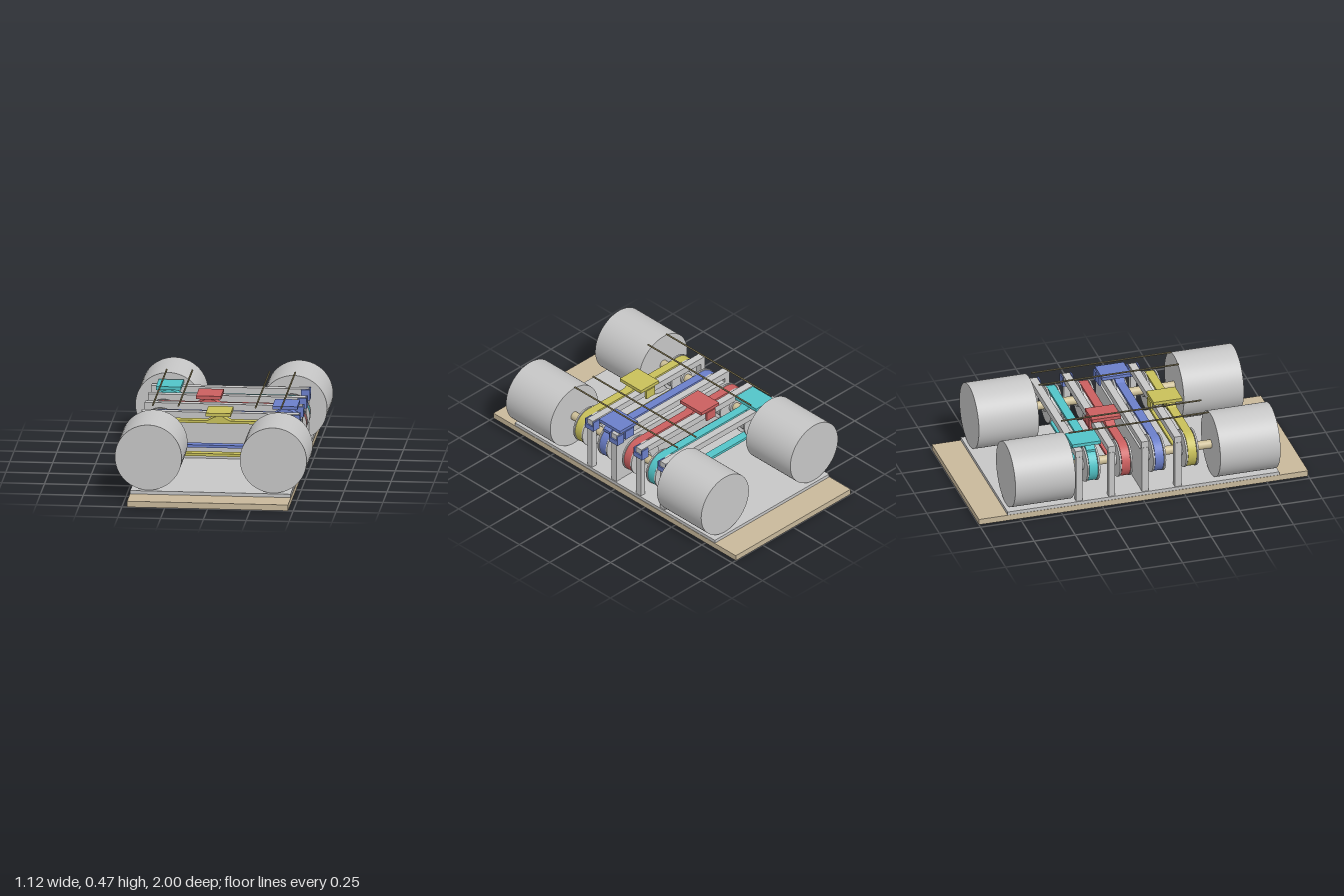
import * as THREE from 'three';

const mat = (name, color, side = THREE.FrontSide) => {
  const m = new THREE.MeshStandardMaterial({ color, side });
  m.name = name;
  return m;
};

export function createModel() {
  const model = new THREE.Group();
  const grey = mat('grey metal', 0xc6c6c6);
  const wood = mat('tan board', 0xc8b89b);
  const brass = mat('shaft tan', 0xcdbf98);
  const rodBrown = mat('rod brown', 0x857a55);
  const yellow = mat('yellow', 0xc8c05a);
  const blue = mat('blue', 0x6b7fca);
  const red = mat('red', 0xcb5f5f);
  const cyan = mat('cyan', 0x52c4c8);

  const add = (parent, name, geometry, material, x = 0, y = 0, z = 0) => {
    const mesh = new THREE.Mesh(geometry, material);
    mesh.name = name;
    mesh.position.set(x, y, z);
    parent.add(mesh);
    return mesh;
  };
  // box given by its limits on each axis
  const box = (parent, name, material, [x0, x1], [y0, y1], [z0, z1]) =>
    add(parent, name, new THREE.BoxGeometry(x1 - x0, y1 - y0, z1 - z0), material,
      (x0 + x1) / 2, (y0 + y1) / 2, (z0 + z1) / 2);
  // cylinder lying along z
  const rod = (parent, name, material, r, x, y, z0, z1, sides = 32) =>
    add(parent, name, new THREE.CylinderGeometry(r, r, z1 - z0, sides).rotateX(Math.PI / 2),
      material, x, y, (z0 + z1) / 2);

  const axleX = 0.365, axleY = 0.25;

  // base
  box(model, 'baseBoard', wood, [-0.47, 0.47], [0, 0.035], [-1, 1]);
  box(model, 'basePlate', grey, [-0.468, 0.468], [0.035, 0.055], [-0.825, 0.825]);
  box(model, 'centreWall', grey, [-0.44, 0.44], [0.055, 0.315], [-0.005, 0.025]);

  // motors with their shafts
  for (const sx of [-1, 1]) {
    for (const [z0, z1, s0, s1] of [[0.44, 0.805, 0.05, 0.44], [-0.805, -0.44, -0.44, -0.05]]) {
      rod(model, 'motor', grey, 0.195, sx * axleX, axleY, z0, z1, 64);
      rod(model, 'shaft', brass, 0.026, sx * axleX, axleY, s0, s1);
    }
    // overhead rods
    for (const x of [0.225, 0.375])
      rod(model, 'overheadRod', rodBrown, 0.005, sx * x, 0.467, -0.425, 0.425, 10);
  }

  // stadium outline around both axles
  const stadium = (path, r) => {
    path.absarc(axleX, 0, r, -Math.PI / 2, Math.PI / 2, false);
    path.absarc(-axleX, 0, r, Math.PI / 2, Math.PI * 1.5, false);
    path.closePath();
    return path;
  };
  const beltShape = stadium(new THREE.Shape(), 0.107);
  beltShape.holes.push(stadium(new THREE.Path(), 0.091));
  const beltGeometry = new THREE.ExtrudeGeometry(beltShape,
    { depth: 0.052, bevelEnabled: false, curveSegments: 24 }).translate(0, 0, -0.026);

  // belt clamp outline
  const clampShape = new THREE.Shape([[-0.068, 0.34], [0.068, 0.34], [0.068, 0.357],
    [0.025, 0.38], [-0.025, 0.38], [-0.068, 0.357]].map(([x, y]) => new THREE.Vector2(x, y)));
  const clampGeometry = new THREE.ExtrudeGeometry(clampShape, { depth: 0.056, bevelEnabled: false })
    .translate(0, 0, -0.028);

  // one track: belt, pulleys, rail, posts, end sensor and carriage
  const track = (colour, material, z, slideX) => {
    const g = new THREE.Group();
    g.name = colour + 'Track';
    g.position.z = z;
    model.add(g);

    add(g, 'belt', beltGeometry, material, 0, axleY, 0);
    for (const x of [-axleX, axleX]) {
      rod(g, 'pulleyCore', grey, 0.091, x, axleY, -0.03, 0.03);
      for (const s of [-1, 1]) {
        rod(g, 'pulleyFlange', grey, 0.111, x, axleY, s * 0.034 - 0.005, s * 0.034 + 0.005, 40);
        rod(g, 'pulleyHub', grey, 0.04, x, axleY, s * 0.044 - 0.008, s * 0.044 + 0.008);
      }
    }

    // rail frame just behind the belt
    const r0 = -0.107, r1 = -0.062;
    box(g, 'rail', grey, [-0.46, 0.46], [0.345, 0.384], [r0, r1]);
    for (const s of [-1, 1])
      box(g, 'post', grey, [s * 0.445 - 0.017, s * 0.445 + 0.017], [0.055, 0.345], [r0 + 0.003, r1 - 0.003]);
    box(g, 'endSensor', blue, [0.415, 0.468], [0.32, 0.35], [r0 - 0.012, r1 + 0.012]);
    for (const zz of [r0 - 0.012, r1 + 0.004])
      box(g, 'sensorProng', blue, [0.415, 0.468], [0.35, 0.382], [zz, zz + 0.008]);

    // carriage riding the rail and clamped to the belt
    const c = new THREE.Group();
    c.name = 'carriage';
    c.position.x = slideX;
    g.add(c);
    box(c, 'platform', material, [-0.073, 0.073], [0.39, 0.41], [-0.115, 0.06]);
    box(c, 'saddle', material, [-0.035, 0.035], [0.384, 0.391], [r0 - 0.015, r1 + 0.014]);
    for (const zz of [r0 - 0.015, r1 + 0.001])
      box(c, 'saddleWall', material, [-0.035, 0.035], [0.335, 0.386], [zz, zz + 0.013]);
    add(c, 'beltClamp', clampGeometry, material);
    box(c, 'clampStem', material, [-0.016, 0.016], [0.36, 0.391], [-0.03, 0.03]);
  };

  track('yellow', yellow, 0.297, 0);
  track('blue', blue, 0.097, 0.37);
  track('red', red, -0.105, -0.095);
  track('cyan', cyan, -0.303, -0.348);

  return model;
}
